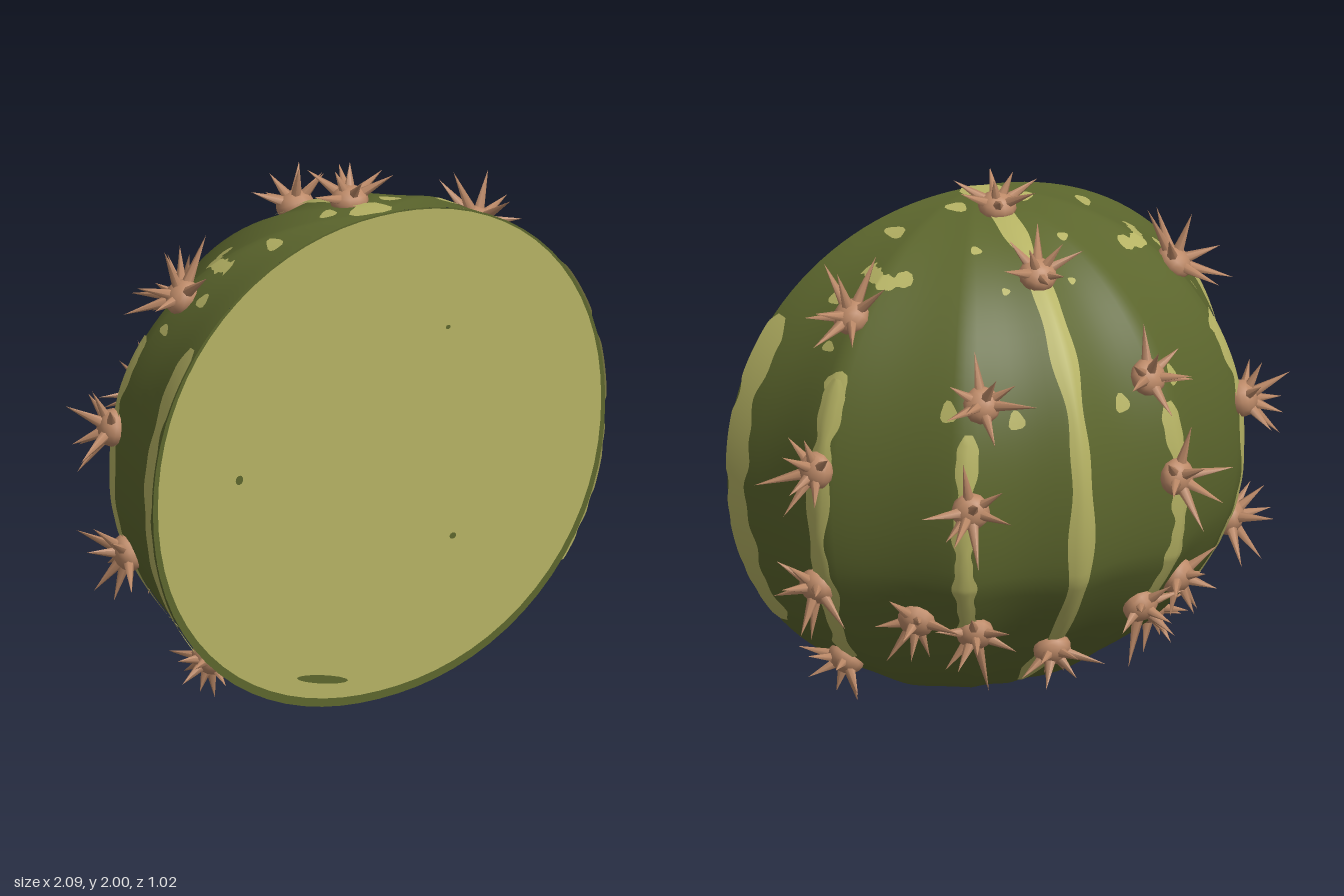
import * as THREE from 'three';
import { mergeGeometries, mergeVertices } from 'three/addons/utils/BufferGeometryUtils.js';

const V = (x, y, z) => new THREE.Vector3(x, y, z);
const CENTRE = V(0, 0.95, 0.5);
const DEG = Math.PI / 180;
const ROUND = 2.1;

// Angles of the ribs, measured from the back round to the cut edge
const RIBS = [0, 27, 60, 90];

// Radius about the upright axis: a near ellipse, slimmer low at the back, grooved between ribs
function radiusAt(y, angle) {
  const u = Math.abs(y - 0.95) / 0.94;
  if (u >= 1) return 0;
  const side = 0.98 * (1 - u ** ROUND) ** (1 / ROUND);
  const back = side * (0.96 - 0.31 * Math.max(0, 0.68 - y));
  const deg = Math.min(Math.abs(angle) / DEG, 89.999);
  const r = RIBS.findIndex((v) => v > deg);
  const groove = Math.sin(Math.PI * (deg - RIBS[r - 1]) / (RIBS[r] - RIBS[r - 1]));
  return (side + (back - side) * Math.cos(angle) ** 2) * (1 - 0.052 * groove);
}

// Point on the skin from an angle in degrees and a height
function at([deg, y]) {
  const a = deg * DEG, r = radiusAt(y, a);
  return V(Math.sin(a) * r, y, 0.5 - Math.cos(a) * r);
}

// Moves a point onto the skin along the ray from the centre of the cut face
function project(p, lift = 0) {
  const d = p.clone().sub(CENTRE);
  d.z = Math.min(d.z, 0);
  d.normalize();
  const angle = Math.atan2(d.x, -d.z), flat = Math.hypot(d.x, d.z);
  let lo = 0, hi = 1.4;
  for (let i = 0; i < 22; i++) {
    const mid = (lo + hi) / 2;
    if (flat * mid < radiusAt(CENTRE.y + d.y * mid, angle)) lo = mid; else hi = mid;
  }
  return CENTRE.clone().addScaledVector(d, lo + lift);
}

function makeGeometry(points, index) {
  const g = new THREE.BufferGeometry().setFromPoints(points);
  g.setIndex(index);
  g.computeVertexNormals();
  return g;
}

// Painted stripe following the skin, with a wavering edge and tapered ends
function stripe(path, halfWidth) {
  const curve = new THREE.CatmullRomCurve3(path);
  const n = 80, across = 4, points = [], index = [];
  for (let i = 0; i <= n; i++) {
    const s = i / n, c = curve.getPoint(s);
    const side = curve.getTangent(s).cross(c.clone().sub(CENTRE)).normalize();
    const taper = Math.min(1, 0.35 + 12 * Math.min(s, 1 - s));
    const w = halfWidth * taper * (1 + 0.2 * Math.sin(s * 21) + 0.12 * Math.sin(s * 47 + 1));
    for (let j = 0; j <= across; j++) {
      points.push(project(c.clone().addScaledVector(side, w * (j / across * 2 - 1)), 0.006));
      if (i < n && j < across) {
        const a = i * (across + 1) + j, b = a + across + 1;
        index.push(a, a + 1, b, a + 1, b + 1, b);
      }
    }
  }
  return makeGeometry(points, index);
}

// Painted blotch on the skin
function blotch(position, rx, ry) {
  const c = project(position), n = c.clone().sub(CENTRE).normalize();
  const u = V(0, 1, 0).cross(n).normalize(), v = n.clone().cross(u);
  const points = [project(c, 0.006)], index = [], sides = 14;
  for (let i = 0; i < sides; i++) {
    const a = i / sides * Math.PI * 2, k = 1 + 0.15 * Math.sin(a * 3 + rx * 90);
    points.push(project(c.clone().addScaledVector(u, Math.cos(a) * rx * k)
      .addScaledVector(v, Math.sin(a) * ry * k), 0.006));
    index.push(0, i + 1, (i + 1) % sides + 1);
  }
  return makeGeometry(points, index);
}

// Woody knob with a few stout spines fanning out around +y
function spineCluster(seed, size) {
  let state = seed * 7919 + 17;
  const rand = () => (state = (state * 16807) % 2147483647) / 2147483647;
  rand();
  const parts = [new THREE.SphereGeometry(0.07, 12, 8).scale(1, 0.8, 1)];
  const spine = (tilt, turn, length) => {
    const cone = new THREE.ConeGeometry(0.025, length, 6).translate(0, length / 2 + 0.02, 0);
    parts.push(cone.rotateZ(tilt).rotateY(turn));
  };
  for (let i = 0; i < 6; i++) {
    spine(0.9 + rand() * 0.4, (i + rand() * 0.5) * Math.PI / 3, (0.13 + rand() * 0.09) * size);
  }
  for (let i = 0; i < 2; i++) spine(0.35 + rand() * 0.25, i * 3 + rand(), (0.13 + rand() * 0.05) * size);
  return mergeGeometries(parts);
}

export function createModel() {
  const group = new THREE.Group();
  const colour = (name, color, side = THREE.FrontSide) =>
    Object.assign(new THREE.MeshStandardMaterial({ color, side }), { name });
  const green = colour('dark green skin', 0x5c662d);
  const flesh = colour('pale green', 0xb5b263, THREE.DoubleSide);
  const wood = colour('brown spines', 0xbd8a68);
  const add = (name, geometry, material) => {
    const mesh = new THREE.Mesh(geometry, material);
    mesh.name = name;
    group.add(mesh);
    return mesh;
  };

  // Ribbed skin: the back half of a sphere moved onto the ribbed shape
  let skin = new THREE.SphereGeometry(1, 60, 60, Math.PI, Math.PI);
  skin.deleteAttribute('uv');
  skin.deleteAttribute('normal');
  const pos = skin.attributes.position;
  for (let i = 0; i < pos.count; i++) {
    const p = project(V().fromBufferAttribute(pos, i).add(CENTRE));
    pos.setXYZ(i, p.x, p.y, p.z);
  }
  skin = mergeVertices(skin, 1e-4);
  skin.computeVertexNormals();
  add('skin', skin, green);

  // Flat cut face with a narrow dark rim
  const disc = (scale, shift) => {
    const points = [];
    for (let i = 0; i < 72; i++) {
      const a = i / 72 * Math.PI * 2;
      const p = project(V(Math.cos(a), Math.sin(a), 0).add(CENTRE));
      points.push(new THREE.Vector2(p.x * scale, 0.95 + (p.y - 0.95) * scale + shift));
    }
    return new THREE.ShapeGeometry(new THREE.Shape(points));
  };
  add('rim', disc(1, 0), green).position.z = 0.499;
  add('cutFace', disc(0.98, 0.014), flesh).position.z = 0.502;

  // Dark flecks on the cut face
  for (const [x, y, rx, ry, turn] of [[-0.61, 1, 0.016, 0.018, 0], [0.295, 1.39, 0.01, 0.008, 0],
    [0.315, 0.575, 0.014, 0.012, 0], [-0.25, 0.145, 0.115, 0.016, -0.26]]) {
    const fleck = add('fleck', new THREE.CircleGeometry(1, 14), green);
    fleck.scale.set(rx, ry, 1);
    fleck.rotation.z = turn;
    fleck.position.set(x, y, 0.506);
  }

  // Centre stripe over the top and down the back rib
  add('centreStripe', stripe([1.886, 1.84, 1.745, 1.56, 1.3, 1, 0.65, 0.36, 0.13]
    .map((y) => at([0, y])), 0.042), flesh);
  add('topPatch', blotch(V(0, 1.88, 0.44), 0.08, 0.06), flesh);

  // Mirrored stripes along the other ribs: path of angle and height, half width
  const sideStripes = [
    [[[60, 1.42], [60, 1.25], [60.5, 1.1], [61, 0.8], [61, 0.62], [63, 0.42], [68, 0.27]], 0.044],
    [[[26, 1.28], [27, 0.95], [27, 0.7], [26, 0.45]], 0.036],
    [[[49, 1.73], [57, 1.71], [64, 1.72], [69, 1.73]], 0.03],
    [[[87, 1.53], [87, 1.2], [87, 0.9], [87, 0.6], [87, 0.36]], 0.05],
  ];
  // Mirrored blotches: position, half width, half height
  const blotches = [
    [[0.72, 1.5, 0.19], 0.03, 0.02], [[0.36, 1.79, 0.38], 0.045, 0.03], [[0.17, 1.8, 0.12], 0.02, 0.02],
    [[0.13, 1.86, 0.37], 0.04, 0.03], [[0.45, 1.36, -0.25], 0.03, 0.04], [[0.22, 1.33, -0.36], 0.03, 0.035],
    [[0.13, 1.7, -0.05], 0.015, 0.015], [[0.78, 1.42, 0.05], 0.05, 0.05], [[0.66, 1.66, 0.3], 0.03, 0.03],
  ];
  for (const s of [1, -1]) {
    for (const [path, w] of sideStripes) {
      add('sideStripe', stripe(path.map(([deg, y]) => at([deg * s, y])), w), flesh);
    }
    for (const [[x, y, z], rx, ry] of blotches) add('blotch', blotch(V(x * s, y, z), rx, ry), flesh);
  }

  // Spine clusters: three on the centre line, the rest mirrored; position and spine size
  const clusters = [
    [0, 1.87, 0.31, 0.85], [0, 1.74, -0.04, 0.8], [0, 0.33, -0.18, 0.85], [0.63, 1.6, 0.18, 1],
    [0.33, 1.38, -0.28, 1], [0.85, 1.1, 0.03, 1], [0.42, 1.01, -0.38, 1], [0.85, 0.61, 0.07, 1.05],
    [0.53, 0.51, -0.14, 0.85], [0.33, 0.47, -0.22, 1], [0.6, 0.24, 0.3, 0.8],
  ];
  clusters.forEach(([x, y, z, size], i) => {
    const geometry = spineCluster(i + 1, size);
    for (const s of x ? [1, -1] : [1]) {
      const mesh = add('spineCluster', geometry, wood);
      mesh.position.copy(project(V(x * s, y, z), 0.008));
      const out = mesh.position.clone().sub(V(0, 0.96, 0.4)).normalize();
      mesh.quaternion.setFromUnitVectors(V(0, 1, 0), out);
      mesh.scale.x = s;
    }
  });
  return group;
}
